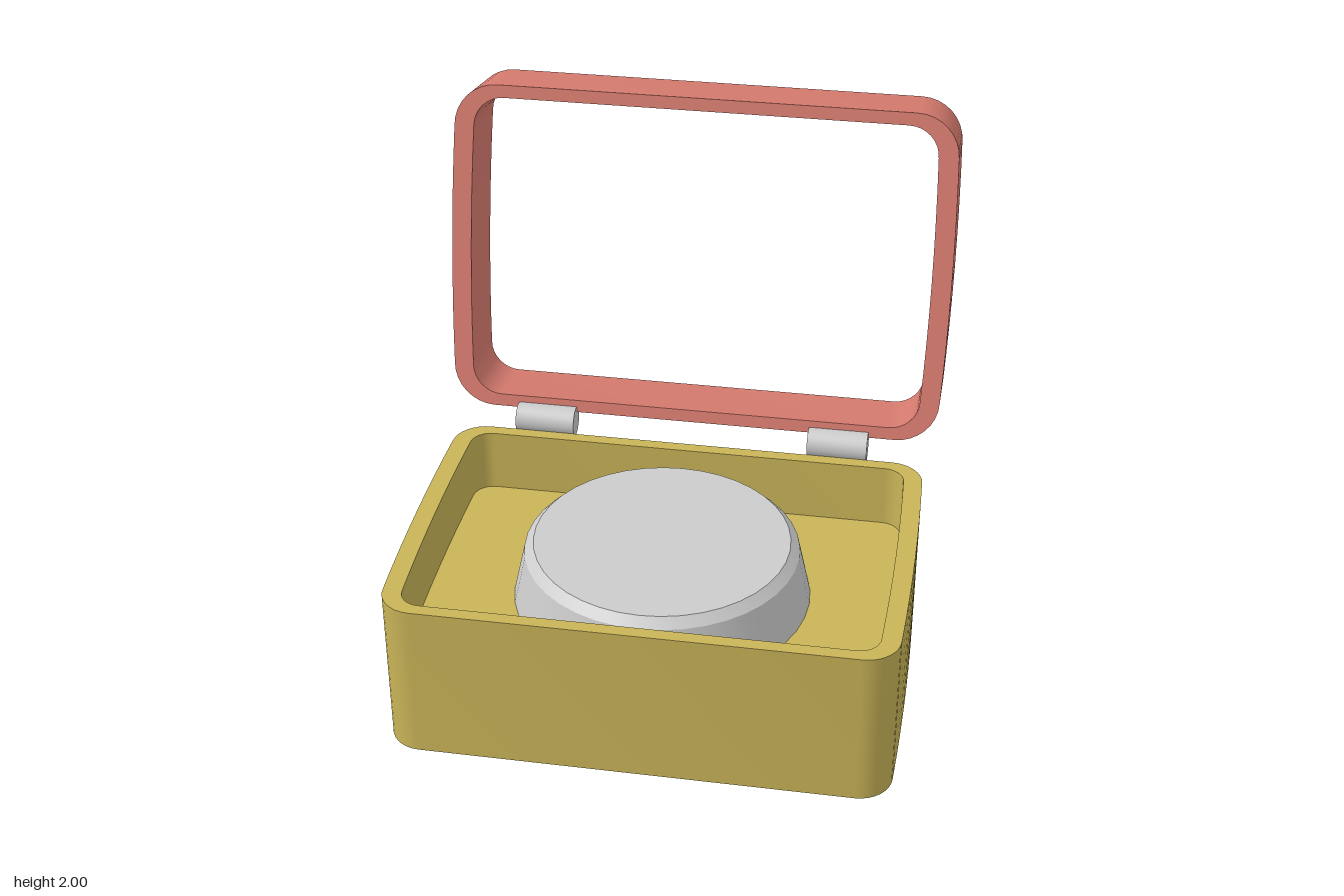
import * as THREE from 'three';
import { toCreasedNormals } from 'three/addons/utils/BufferGeometryUtils.js';

const CREASE = 0.6;

// Rounded rectangle whose short sides bow out slightly
function outline(w, h, r, PathType = THREE.Shape) {
  const x = w / 2, y = h / 2, b = 0.01, k = 0.45 * r;
  const e = x - b;
  const p = new PathType();
  p.moveTo(-e + r, -y);
  p.lineTo(e - r, -y);
  p.bezierCurveTo(e - k, -y, e, -y + k, e, -y + r);
  p.quadraticCurveTo(e + 2 * b, 0, e, y - r);
  p.bezierCurveTo(e, y - k, e - k, y, e - r, y);
  p.lineTo(-e + r, y);
  p.bezierCurveTo(-e + k, y, -e, y - k, -e, y - r);
  p.quadraticCurveTo(-e - 2 * b, 0, -e, -y + r);
  p.bezierCurveTo(-e, -y + k, -e + k, -y, -e + r, -y);
  return p;
}

function extrude(shape, depth) {
  const g = new THREE.ExtrudeGeometry(shape, { depth, bevelEnabled: false, curveSegments: 8 });
  return toCreasedNormals(g, CREASE);
}

function frame(w, h, r, wallX, wallY, depth) {
  const shape = outline(w, h, r);
  shape.holes.push(outline(w - 2 * wallX, h - 2 * wallY, r - 0.05, THREE.Path));
  return extrude(shape, depth);
}

export function createModel() {
  const model = new THREE.Group();
  const yellow = new THREE.MeshStandardMaterial({ color: 0xc9b458 });
  const red = new THREE.MeshStandardMaterial({ color: 0xd87c70 });
  const grey = new THREE.MeshStandardMaterial({ color: 0xcccccc });

  const add = (name, geometry, material, parent = model) => {
    const mesh = new THREE.Mesh(geometry, material);
    mesh.name = name;
    parent.add(mesh);
    return mesh;
  };

  // Box: open-topped walls around a raised floor
  const box = new THREE.Group();
  box.name = 'box';
  box.position.z = 0.33;
  model.add(box);
  add('boxWalls', frame(1.92, 1.28, 0.13, 0.073, 0.05, 0.64).rotateX(-Math.PI / 2), yellow, box);
  add('boxFloor', extrude(outline(1.774, 1.18, 0.08), 0.38).rotateX(-Math.PI / 2), yellow, box);

  // Round cushion: flared side with a bevelled flat top
  const profile = [[0, 0.38], [0.57, 0.38], [0.525, 0.585], [0.49, 0.62], [0, 0.62]]
    .map(([r, y]) => new THREE.Vector2(r, y));
  const cushion = toCreasedNormals(new THREE.LatheGeometry(profile, 40), 0.4);
  add('cushion', cushion, grey, box);

  // Lid: open frame leaning back
  const lid = add('lidFrame', frame(2, 1.33, 0.17, 0.078, 0.05, 0.316).translate(0, 0, -0.158), red);
  lid.position.set(0, 1.318, -0.675);
  lid.rotation.x = -0.205;

  // Hinge barrels
  for (const side of [-1, 1]) {
    const barrel = toCreasedNormals(new THREE.CylinderGeometry(0.06, 0.06, 0.24, 20), CREASE);
    const hinge = add(side > 0 ? 'leftHinge' : 'rightHinge', barrel.rotateZ(Math.PI / 2), grey);
    hinge.position.set(side * 0.597, 0.667, -0.365);
  }
  return model;
}
